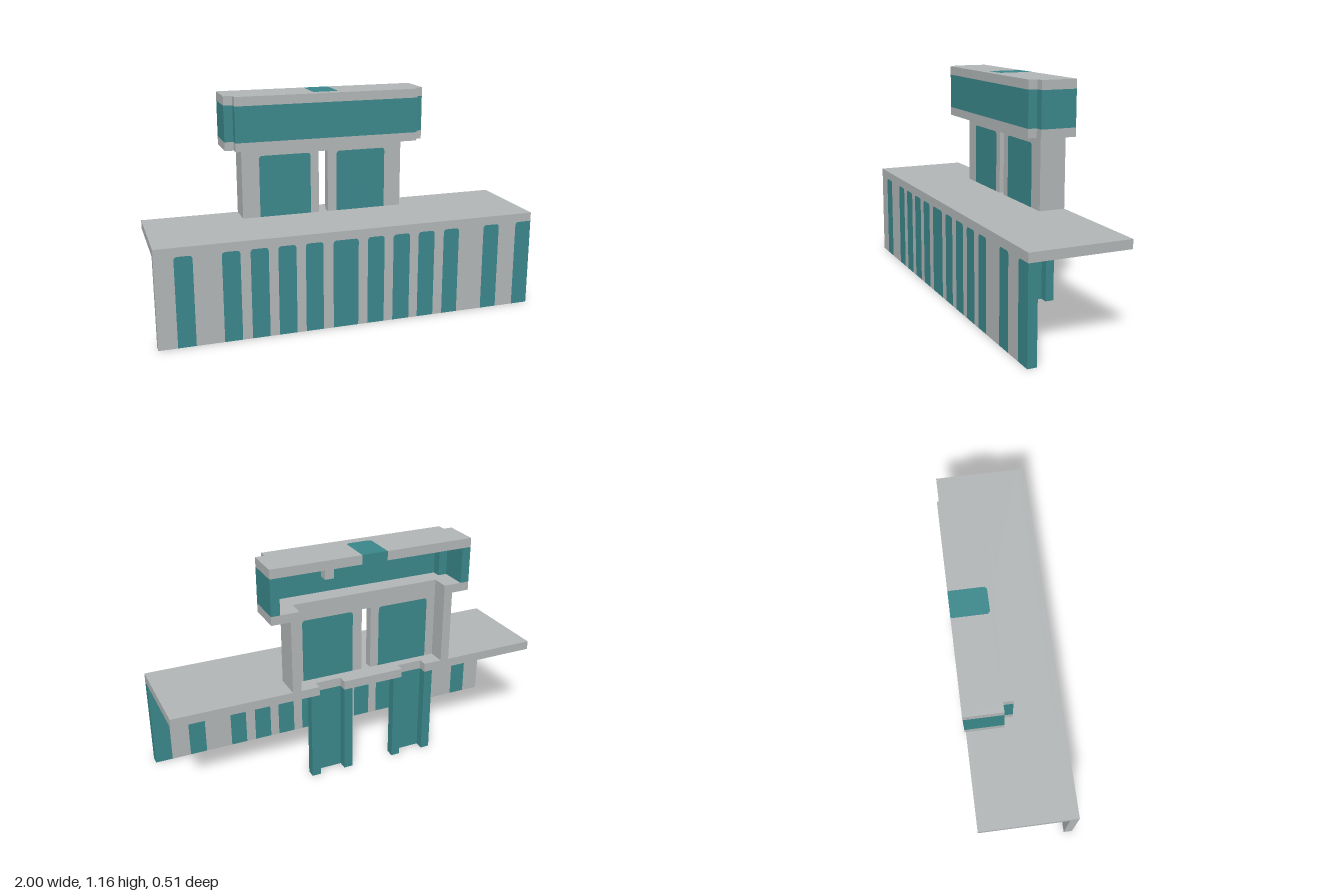
import * as THREE from 'three';

const gray = new THREE.MeshStandardMaterial({ color: 0xb1b5b5 });
gray.name = 'stone gray';
const teal = new THREE.MeshStandardMaterial({ color: 0x3a868a });
teal.name = 'teal';

const BACK = -0.255, FRONT = 0.255, T = 0.046; // T = common wall thickness
const MID = -0.05; // centre line of the tower
const SLAB_LOW = 0.466, SLAB_TOP = 0.512;

export function createModel() {
  const root = new THREE.Group();
  root.name = 'counterWithTower';

  const add = (name, geometry, material) => {
    const mesh = new THREE.Mesh(geometry, material);
    mesh.name = name;
    root.add(mesh);
    return mesh;
  };
  // box given by its limits
  const box = (name, material, x0, x1, y0, y1, z0, z1) =>
    add(name, new THREE.BoxGeometry(x1 - x0, y1 - y0, z1 - z0), material)
      .position.set((x0 + x1) / 2, (y0 + y1) / 2, (z0 + z1) / 2);
  // horizontal plate from an [x, z] outline
  const plate = (name, material, points, y0, y1) => {
    const shape = new THREE.Shape(points.map(([x, z]) => new THREE.Vector2(x, -z)));
    const g = new THREE.ExtrudeGeometry(shape, { depth: y1 - y0, bevelEnabled: false });
    g.rotateX(-Math.PI / 2).translate(0, y0, 0);
    add(name, g, material);
  };
  // upright wall from an [x, y] outline
  const wall = (name, material, points, z0, z1) => {
    const shape = new THREE.Shape(points.map(([x, y]) => new THREE.Vector2(x, y)));
    const g = new THREE.ExtrudeGeometry(shape, { depth: z1 - z0, bevelEnabled: false });
    add(name, g.translate(0, 0, z0), material);
  };
  // panel outline with softened top corners, listed from left foot to right foot
  const panel = (x0, x1, y0, y1, cutRight = true) => {
    const r = 0.014, k = 0.3 * r;
    const left = [[x0, y0], [x0, y1 - r], [x0 + k, y1 - k], [x0 + r, y1]];
    const right = [[x1 - r, y1], [x1 - k, y1 - k], [x1, y1 - r], [x1, y0]];
    return [...left, ...(cutRight ? right : [[x1, y1], [x1, y0]])];
  };

  // front wall with inset stripes
  const stripes = [[-0.905, -0.815], [-0.675, -0.585], [-0.535, -0.445], [-0.397, -0.305],
    [-0.257, -0.166], [-0.113, 0.02], [0.07, 0.16], [0.209, 0.3], [0.348, 0.438],
    [0.49, 0.577], [0.72, 0.81], [0.91, 1]];
  const outline = [[-1, 0]];
  stripes.forEach(([x0, x1]) => {
    const p = panel(x0, x1, 0, SLAB_LOW, x1 < 1);
    wall('frontStripe', teal, p, FRONT - T, FRONT);
    outline.push(...p);
  });
  outline.pop(); // last stripe is open to the wall's end
  outline.push([1, SLAB_TOP], [-1, SLAB_TOP]);
  wall('frontWall', gray, outline, FRONT - T, FRONT);

  // counter top, notched at the back between the leg posts
  const legs = [[-0.394, -0.167], [0.067, 0.294]];
  const top = [[-1, FRONT - T], [-1, BACK]];
  legs.forEach(([x0, x1]) => top.push([x0 + T, BACK], [x0 + T, BACK + T], [x1 - T, BACK + T], [x1 - T, BACK]));
  top.push([1, BACK], [1, FRONT - T]);
  plate('counterTop', gray, top, SLAB_LOW, SLAB_TOP);

  // back legs: two posts and a recessed web
  legs.forEach(([x0, x1]) => {
    box('backLegPost', teal, x0, x0 + T, 0, SLAB_LOW, BACK, BACK + T);
    box('backLegPost', teal, x1 - T, x1, 0, SLAB_LOW, BACK, BACK + T);
    box('backLegWeb', teal, x0 + T, x1 - T, 0, SLAB_LOW, BACK + T, BACK + 2 * T);
  });

  // tower: side walls and a panelled front with a slot
  const TL = -0.49, TR = 0.39, TZ0 = -0.164, TZ1 = -0.117, HEAD = 0.888;
  box('towerSide', gray, TL, TL + T, SLAB_TOP, HEAD, BACK, TZ1);
  box('towerSide', gray, TR - T, TR, SLAB_TOP, HEAD, BACK, TZ1);
  const towerPanels = [panel(-0.397, -0.12, SLAB_TOP, 0.84), panel(0.025, 0.297, SLAB_TOP, 0.84)];
  towerPanels.forEach(p => wall('towerPanel', teal, p, TZ0, TZ1));
  wall('towerFront', gray, [[TL + T, SLAB_TOP], ...towerPanels[0],
    [MID - 0.025, SLAB_TOP], [MID - 0.025, 0.845], [MID + 0.025, 0.845], [MID + 0.025, SLAB_TOP],
    ...towerPanels[1], [TR - T, SLAB_TOP], [TR - T, HEAD], [TL + T, HEAD]], TZ0, TZ1);

  // head: open-backed box with stepped front corners
  const HL = -0.583, HR = 0.488, STEP = -0.068, HF = -0.022;
  const head = [[HL, BACK], [HL, STEP], [HL + T, STEP], [HL + T, HF],
    [HR - T, HF], [HR - T, STEP], [HR, STEP], [HR, BACK]];
  plate('headFloor', gray, [...head, [TR - T, BACK], [TR - T, TZ0], [TL + T, TZ0], [TL + T, BACK]], HEAD, 0.933);
  plate('headWalls', teal, [...head,
    [HR - T, BACK], [HR - T, STEP - T], [HR - 2 * T, STEP - T], [HR - 2 * T, STEP],
    [HL + 2 * T, STEP], [HL + 2 * T, STEP - T], [HL + T, STEP - T], [HL + T, BACK]], 0.933, 1.118);

  // roof with an inlaid patch and a small hook beneath
  const patch = [[0.02, BACK], [0.02, STEP - 0.015], [0.008, STEP - 0.004],
    [-0.103, STEP - 0.004], [-0.115, STEP - 0.015], [-0.115, BACK]];
  plate('roof', gray, [...head, ...patch], 1.118, 1.165);
  plate('roofPatch', teal, patch, 1.118, 1.165);
  box('roofHook', gray, 0.167, 0.213, 1.072, 1.118, BACK, BACK + T);

  return root;
}
